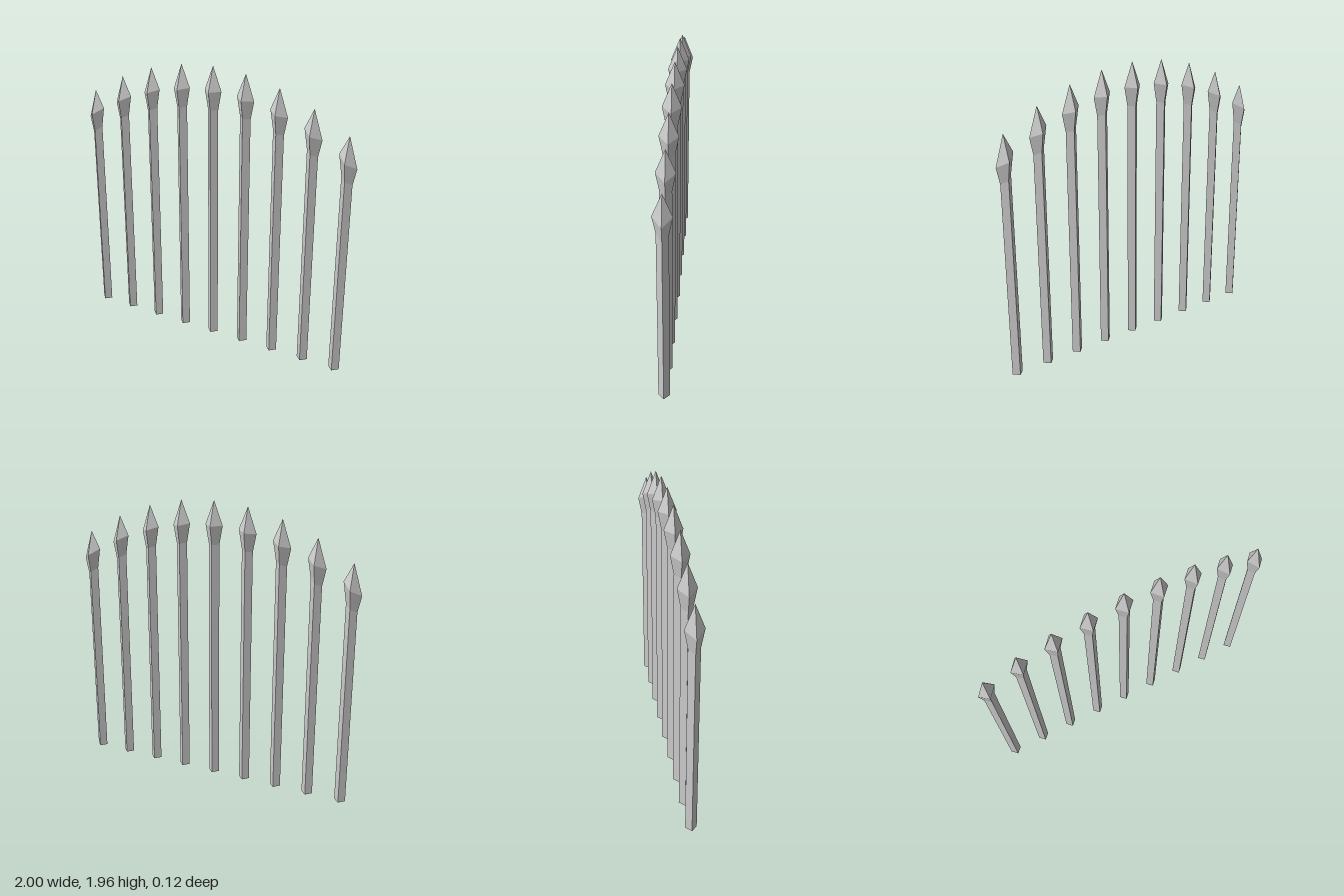
import * as THREE from 'three';

const COUNT = 9, SPACING = 0.235, DROP = 0.0188;
const SHAFT_R = 0.038, HEAD_R = 0.061;

// Tilt everything above the foot so it follows the slope of the arch
function shear(geometry, slope) {
  const p = geometry.attributes.position;
  for (let i = 0; i < p.count; i++) {
    if (p.getY(i) > 0.01) p.setY(i, p.getY(i) + slope * p.getX(i));
  }
  geometry.computeVertexNormals();
  return geometry;
}

export function createModel() {
  const model = new THREE.Group();
  model.name = 'spikedFence';
  const material = new THREE.MeshStandardMaterial({ color: 0xcccccc, flatShading: true });
  const half = (COUNT - 1) / 2;

  for (let i = -half; i <= half; i++) {
    const waist = 1.8 - DROP * i * i;
    const slope = (-2 * DROP * i) / SPACING;
    const neck = waist - 0.125;

    const picket = new THREE.Group();
    picket.name = 'picket';
    picket.position.x = i * SPACING;

    // Square bar set corner-on
    const shaftGeometry = new THREE.CylinderGeometry(SHAFT_R, SHAFT_R, neck, 4);
    shaftGeometry.translate(0, neck / 2, 0);
    const shaft = new THREE.Mesh(shear(shaftGeometry, slope), material);
    shaft.name = 'shaft';

    // Four-sided spearhead
    const profile = [[SHAFT_R, neck], [HEAD_R, waist], [0, waist + 0.162]]
      .map(([r, y]) => new THREE.Vector2(r, y));
    const head = new THREE.Mesh(shear(new THREE.LatheGeometry(profile, 4), slope), material);
    head.name = 'spearhead';

    picket.add(shaft, head);
    model.add(picket);
  }
  return model;
}
